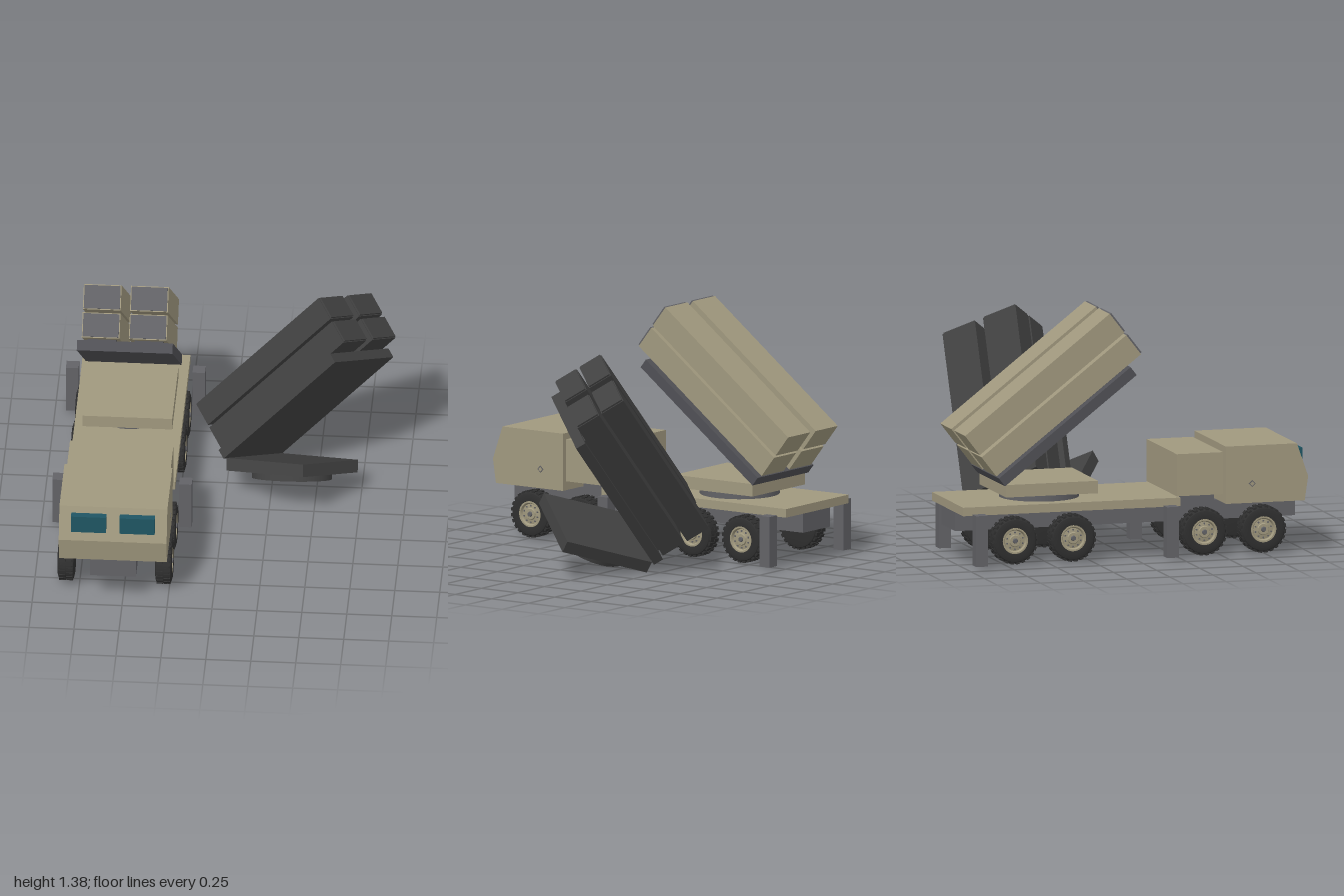
import * as THREE from 'three';
import { toCreasedNormals } from 'three/addons/utils/BufferGeometryUtils.js';

function material(name, color) {
  const m = new THREE.MeshStandardMaterial({ color });
  m.name = name;
  return m;
}

export function createModel() {
  const tan = material('tan paint', 0xa0987e);
  const grey = material('grey steel', 0x626266);
  const trayGrey = material('dark steel', 0x505055);
  const rubber = material('rubber', 0x2f2f2f);
  const black = material('black paint', 0x404040);
  const glass = material('window glass', 0x1f5563);

  const model = new THREE.Group();
  model.name = 'launcherTruck';
  const truck = new THREE.Group();
  truck.name = 'truck';
  truck.position.x = -0.552;
  model.add(truck);

  function add(parent, name, geometry, mat, x = 0, y = 0, z = 0) {
    const mesh = new THREE.Mesh(geometry, mat);
    mesh.name = name;
    mesh.position.set(x, y, z);
    parent.add(mesh);
    return mesh;
  }
  // Box given by its lower and upper corner
  function block(parent, name, mat, x0, x1, y0, y1, z0, z1) {
    return add(parent, name, new THREE.BoxGeometry(x1 - x0, y1 - y0, z1 - z0), mat,
      (x0 + x1) / 2, (y0 + y1) / 2, (z0 + z1) / 2);
  }

  // Chassis, deck and engine housing
  block(truck, 'chassis', grey, -0.128, 0.128, 0.175, 0.284, -0.995, 0.975);
  block(truck, 'deck', tan, -0.298, 0.298, 0.284, 0.332, -1, 0.26);
  block(truck, 'engineHousing', tan, -0.288, 0.288, 0.338, 0.574, 0.242, 0.51);
  block(truck, 'engineMount', grey, -0.128, 0.128, 0.28, 0.34, 0.26, 0.505);

  // Cab: side profile in (z, y), extruded across the width
  const profile = [[0.523, 0.284], [0.98, 0.284], [1, 0.42], [0.935, 0.606], [0.523, 0.606]];
  const cabGeometry = new THREE.ExtrudeGeometry(
    new THREE.Shape(profile.map(([z, y]) => new THREE.Vector2(z, y))),
    { depth: 0.6, bevelEnabled: false });
  cabGeometry.translate(0, 0, -0.3).rotateY(-Math.PI / 2);
  add(truck, 'cab', cabGeometry, tan);

  for (const s of [-1, 1]) {
    block(truck, 'windscreen', glass, s * 0.135 - 0.098, s * 0.135 + 0.098, 0.468, 0.57, 0.94, 0.988);
    const handle = add(truck, 'doorHandle', new THREE.CylinderGeometry(0.02, 0.02, 0.006, 4), grey, s * 0.3, 0.392, 0.675);
    handle.rotation.z = Math.PI / 2;
    const inset = add(truck, 'doorHandleInset', new THREE.CylinderGeometry(0.013, 0.013, 0.008, 4), tan, s * 0.3, 0.392, 0.675);
    inset.rotation.z = Math.PI / 2;
    // Outrigger legs
    for (const z of [0.19, -0.917]) {
      block(truck, 'outrigger', grey, s * 0.352 - 0.035, s * 0.352 + 0.035, 0.01, 0.295, z - 0.035, z + 0.035);
    }
  }

  // Wheels: local y is the axle, pointing outward
  const lathe = (points, sides) => toCreasedNormals(
    new THREE.LatheGeometry(points.map(([r, y]) => new THREE.Vector2(r, y)), sides), 0.5);
  const tyreGeometry = lathe([[0, -0.043], [0.1, -0.046], [0.118, -0.042], [0.127, -0.03], [0.128, 0.03],
    [0.118, 0.042], [0.1, 0.047], [0.074, 0.044], [0.069, 0.02]], 36);
  const hubGeometry = lathe([[0.073, 0.02], [0.073, 0.044], [0.064, 0.044], [0.057, 0.03], [0.034, 0.034],
    [0.03, 0.041], [0, 0.041]], 30);
  const lugGeometry = new THREE.BoxGeometry(0.012, 0.036, 0.019);
  const boltGeometry = new THREE.CylinderGeometry(0.005, 0.005, 0.008, 6);
  const capGeometry = new THREE.CylinderGeometry(0.012, 0.017, 0.012, 12);

  function makeWheel() {
    const wheel = new THREE.Group();
    wheel.name = 'wheel';
    add(wheel, 'tyre', tyreGeometry, rubber);
    add(wheel, 'hub', hubGeometry, tan);
    add(wheel, 'hubCap', capGeometry, grey, 0, 0.043, 0);
    // Two staggered rows of tread lugs
    for (let i = 0; i < 48; i++) {
      const a = (i / 48) * Math.PI * 2;
      const lug = add(wheel, 'treadLug', lugGeometry, rubber,
        Math.cos(a) * 0.1265, i % 2 ? 0.02 : -0.02, Math.sin(a) * 0.1265);
      lug.rotation.y = -a;
    }
    for (let i = 0; i < 10; i++) {
      const a = (i / 10) * Math.PI * 2;
      add(wheel, 'wheelBolt', boltGeometry, grey, Math.cos(a) * 0.047, 0.033, Math.sin(a) * 0.047);
    }
    return wheel;
  }
  for (const z of [0.738, 0.396, -0.365, -0.702]) {
    for (const s of [-1, 1]) {
      const wheel = makeWheel();
      wheel.position.set(s * 0.271, 0.134, z);
      wheel.rotation.z = -s * Math.PI / 2;
      truck.add(wheel);
    }
  }

  // Launcher: turntable at the origin, tray and four canisters pitched upward
  function makeLauncher(name, body, trayMat, ringMat, capMat) {
    const launcher = new THREE.Group();
    launcher.name = name;
    add(launcher, 'turntable', new THREE.CylinderGeometry(0.223, 0.223, 0.04, 32), ringMat, 0, 0.02, 0);
    block(launcher, 'mountPlate', body, -0.25, 0.25, 0.038, 0.108, -0.267, 0.267);
    // Pitched part: origin at the top rear edge of the canisters
    const pitched = new THREE.Group();
    pitched.name = 'canisterPack';
    pitched.position.set(0, 0.392, -0.5);
    pitched.rotation.x = -0.658;
    launcher.add(pitched);
    block(pitched, 'tray', trayMat, -0.266, 0.266, -0.364, -0.306, 0, 0.965);
    for (const s of [-1, 1]) {
      for (const top of [0, -0.157]) {
        const x = s * 0.131;
        block(pitched, 'canister', body, x - 0.105, x + 0.105, top - 0.14, top, 0, 1.06);
        block(pitched, 'canisterCap', capMat, x - 0.1, x + 0.1, top - 0.135, top - 0.005, 1.05, 1.07);
      }
      block(pitched, 'canisterRail', trayMat, s * 0.131 - 0.08, s * 0.131 + 0.08, -0.308, -0.295, 0.03, 0.94);
    }
    return launcher;
  }

  const mounted = makeLauncher('truckLauncher', tan, trayGrey, grey, grey);
  mounted.position.set(0, 0.332, -0.47);
  truck.add(mounted);

  // Second launcher, standing tilted beside the truck
  const loose = makeLauncher('detachedLauncher', black, black, black, black);
  const up = new THREE.Vector3(-0.011, 0.871, -0.488).normalize();
  const forward = new THREE.Vector3(0.827, 0.283, 0.485);
  const side = new THREE.Vector3().crossVectors(up, forward).normalize();
  forward.crossVectors(side, up);
  loose.quaternion.setFromRotationMatrix(new THREE.Matrix4().makeBasis(side, up, forward));
  loose.position.set(0.37, 0.137, -0.11);
  model.add(loose);

  return model;
}
